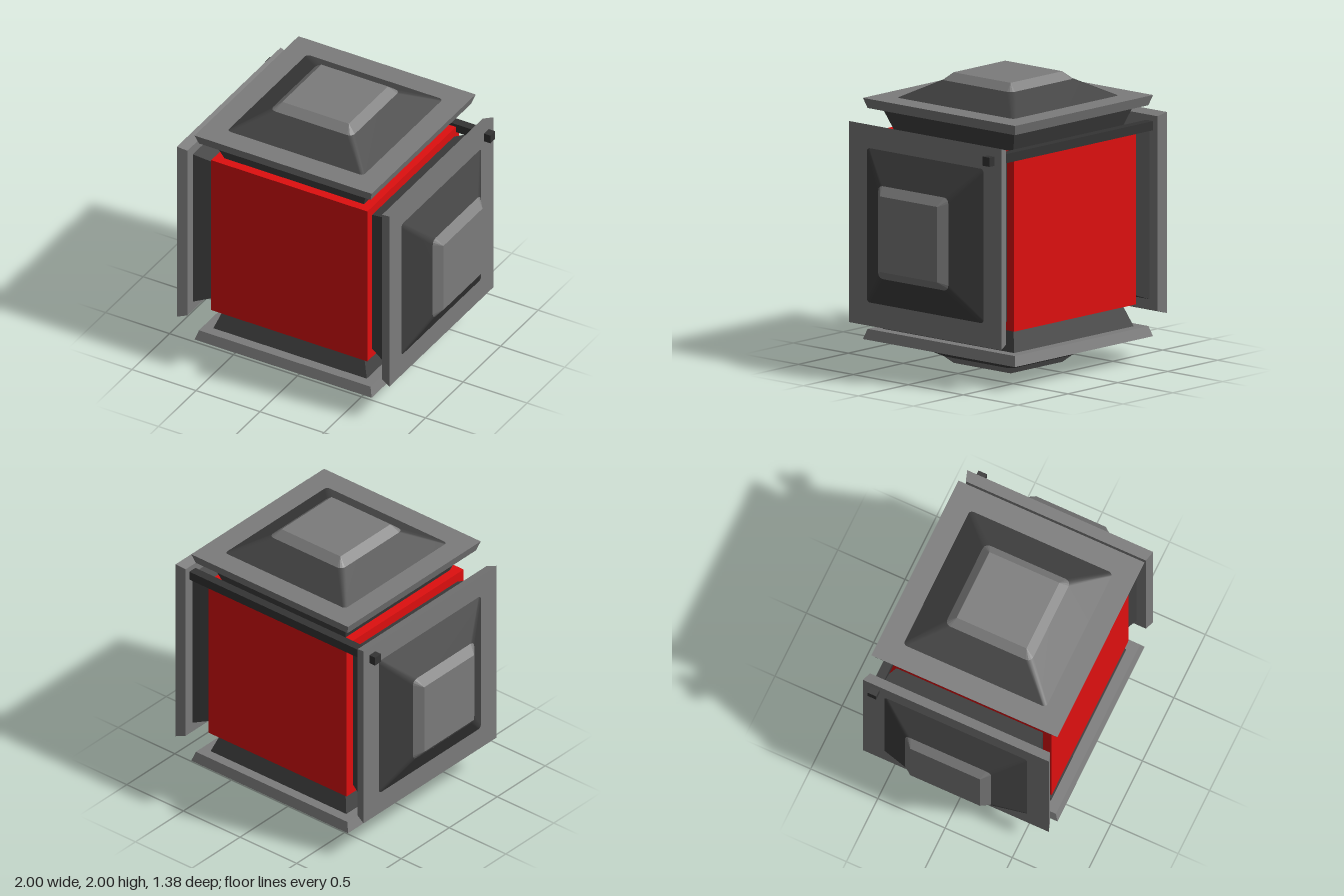
import * as THREE from 'three';

const mat = (name, color) => {
  const m = new THREE.MeshStandardMaterial({ color });
  m.name = name;
  return m;
};

// Split faces so that every facet gets its own normal
function faceted(geometry) {
  const g = geometry.index ? geometry.toNonIndexed() : geometry;
  g.computeVertexNormals();
  return g;
}

// Square frustum between two heights, with half widths at each end
function frustum(y0, half0, y1, half1) {
  const g = new THREE.CylinderGeometry(half1 * Math.SQRT2, half0 * Math.SQRT2, y1 - y0, 4);
  g.rotateY(Math.PI / 4).translate(0, (y0 + y1) / 2, 0);
  return faceted(g);
}

// Loft through rounded squares given as [y, half width, corner radius]
function roundedLoft(levels, closeTop) {
  const steps = 3, n = 4 * (steps + 1), pos = [], idx = [];
  for (const [y, half, r] of levels) {
    for (let c = 0; c < 4; c++) {
      const mid = Math.PI / 4 + c * Math.PI / 2;
      const cx = Math.sign(Math.cos(mid)) * (half - r);
      const cz = Math.sign(Math.sin(mid)) * (half - r);
      for (let s = 0; s <= steps; s++) {
        const a = (c + s / steps) * Math.PI / 2;
        pos.push(cx + r * Math.cos(a), y, cz + r * Math.sin(a));
      }
    }
  }
  for (let k = 0; k < levels.length - 1; k++) {
    for (let i = 0; i < n; i++) {
      const a = k * n + i, b = k * n + (i + 1) % n;
      idx.push(a, a + n, b, b, a + n, b + n);
    }
  }
  if (closeTop) {
    const base = (levels.length - 1) * n;
    pos.push(0, levels[levels.length - 1][0], 0);
    for (let i = 0; i < n; i++) idx.push(base + i, pos.length / 3 - 1, base + (i + 1) % n);
  }
  const g = new THREE.BufferGeometry();
  g.setAttribute('position', new THREE.Float32BufferAttribute(pos, 3));
  g.setIndex(idx);
  g.computeVertexNormals();
  return g;
}

export function createModel() {
  const red = mat('red', 0xdf0f0f);
  const grey = mat('grey', 0x7c7c7c);
  const dark = mat('dark grey', 0x414141);
  const black = mat('charcoal', 0x343434);

  const model = new THREE.Group();
  model.name = 'panelledCube';
  const add = (parent, name, geometry, material) => {
    const mesh = new THREE.Mesh(geometry, material);
    mesh.name = name;
    parent.add(mesh);
    return mesh;
  };

  // Central cube
  add(model, 'core', new THREE.BoxGeometry(1.22, 1.22, 1.22), red).position.y = 1;

  // Stepped panel, modelled pointing up from the cube centre
  const neck = frustum(0.55, 0.523, 0.77, 0.603);
  const flange = frustum(0.76, 0.67, 0.83, 0.692);
  const dome = roundedLoft([[0.825, 0.54, 0.025], [0.95, 0.32, 0.04]], false);
  const cap = faceted(roundedLoft([[0.945, 0.325, 0.04], [1, 0.26, 0.002]], true));

  // One panel on the top, bottom and both sides
  ['top', 'right', 'bottom', 'left'].forEach((side, i) => {
    const panel = new THREE.Group();
    panel.name = side + 'Panel';
    panel.position.y = 1;
    panel.rotation.z = i * Math.PI / 2;
    add(panel, 'neck', neck, dark);
    add(panel, 'flange', flange, grey);
    add(panel, 'dome', dome, dark);
    add(panel, 'cap', cap, grey);
    model.add(panel);
  });

  // Square rod through the upper back edge
  add(model, 'rod', new THREE.BoxGeometry(1.76, 0.063, 0.063), black).position.set(0, 1.6, -0.6);

  return model;
}
